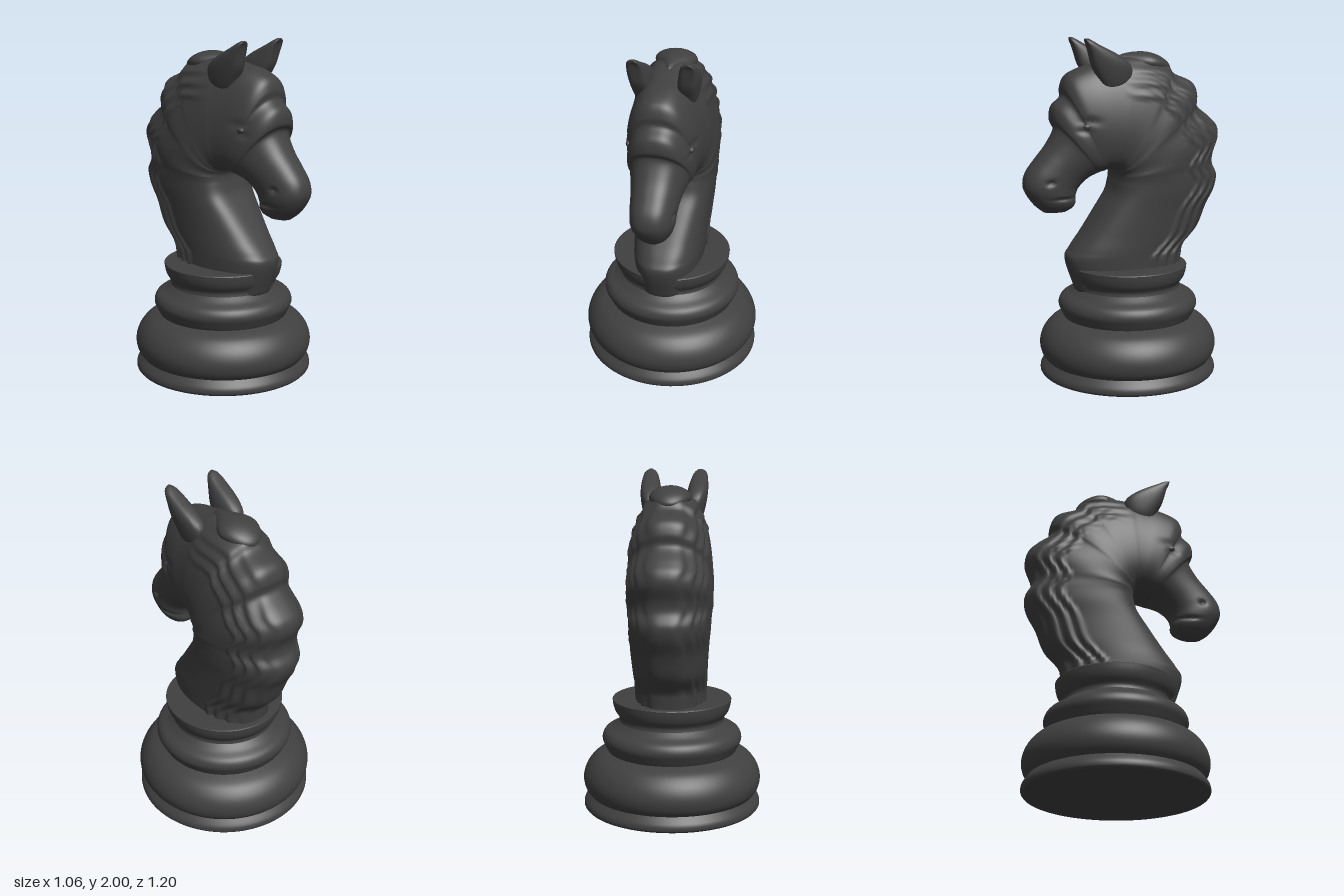
import * as THREE from 'three';

const charcoal = new THREE.MeshStandardMaterial({ color: 0x404040 });
charcoal.name = 'charcoal';

const { smoothstep } = THREE.MathUtils;

// Smooth closed skin over rings of points, with a fan at each end
function loft(rings) {
  const n = rings[0].length, pos = [], index = [];
  rings.forEach(r => r.forEach(p => pos.push(p.x, p.y, p.z)));
  for (let i = 0; i < rings.length - 1; i++) {
    for (let j = 0; j < n; j++) {
      const a = i * n + j, b = i * n + (j + 1) % n;
      index.push(a, b, b + n, a, b + n, a + n);
    }
  }
  [0, rings.length - 1].forEach((r, end) => {
    const c = rings[r].reduce((s, p) => s.add(p), new THREE.Vector3()).divideScalar(n);
    const k = pos.length / 3;
    pos.push(c.x, c.y, c.z);
    for (let j = 0; j < n; j++) {
      const a = r * n + j, b = r * n + (j + 1) % n;
      if (end) index.push(a, b, k); else index.push(b, a, k);
    }
  });
  const g = new THREE.BufferGeometry();
  g.setAttribute('position', new THREE.Float32BufferAttribute(pos, 3));
  g.setIndex(index);
  g.computeVertexNormals();
  return g;
}

function addMesh(parent, name, geometry) {
  const m = new THREE.Mesh(geometry, charcoal);
  m.name = name;
  parent.add(m);
  return m;
}

// Cross-sections: throat z, throat y, crest z, crest y, half width
const neck = [
  [.28, .5, -.34, .5, .19], [.345, .7, -.365, .7, .205], [.315, .77, -.385, .77, .21],
  [.24, .865, -.47, .865, .215], [.14, 1, -.525, 1, .225], [.075, 1.09, -.58, 1.1, .235],
  [.052, 1.16, -.595, 1.18, .24], [.046, 1.19, -.562, 1.25, .245], [.045, 1.2, -.565, 1.315, .25],
  [.046, 1.21, -.6, 1.405, .25], [.048, 1.217, -.59, 1.475, .25], [.05, 1.222, -.54, 1.53, .25],
  [.052, 1.226, -.46, 1.6, .25], [.054, 1.229, -.46, 1.67, .25], [.056, 1.232, -.425, 1.74, .247],
  [.058, 1.235, -.315, 1.79, .243], [.061, 1.238, -.27, 1.845, .24], [.065, 1.24, -.15, 1.885, .235],
  [.07, 1.242, -.02, 1.89, .23],
];
const head = [
  [.075, 1.244, .05, 1.875, .225], [.082, 1.246, .14, 1.855, .22], [.095, 1.247, .24, 1.835, .215],
  [.11, 1.245, .335, 1.79, .207], [.125, 1.241, .365, 1.725, .2], [.135, 1.237, .365, 1.67, .195],
  [.147, 1.233, .42, 1.615, .19], [.162, 1.228, .43, 1.54, .182], [.182, 1.218, .405, 1.49, .17],
  [.215, 1.2, .455, 1.395, .152], [.25, 1.17, .52, 1.315, .138], [.28, 1.13, .58, 1.235, .13],
  [.292, 1.09, .597, 1.16, .125], [.292, 1.05, .575, 1.1, .112], [.31, 1.022, .53, 1.04, .088],
  [.345, 1.0, .48, 1.0, .05],
];

// Pressed details on the face: z, y, radius along z, radius along y, depth
const dents = [
  [.465, 1.185, .022, .014, .018], [.37, 1.085, .075, .01, .016],
  [.25, 1.535, .05, .02, .012], [.285, 1.48, .04, .018, .01],
];

function horseGeometry() {
  const keys = [...neck, ...head], last = keys.length - 1;
  const curve = pick => new THREE.CatmullRomCurve3(keys.map(pick), false, 'catmullrom', 0.5);
  const throat = curve(k => new THREE.Vector3(0, k[1], k[0]));
  const crest = curve(k => new THREE.Vector3(k[4], k[3], k[2]));
  const steps = last * 6, around = 128, rings = [];
  for (let i = 0; i <= steps; i++) {
    const s = i / 6;
    const p = throat.getPoint(i / steps), q = crest.getPoint(i / steps);
    // widest point moves towards the throat in the upper neck and cheeks
    const skew = 1 + 0.5 * smoothstep(s, 1, 6) * (1 - smoothstep(s, 24, 31));
    const maneFade = 1 - smoothstep(s, 16, 19);
    const ring = [];
    for (let j = 0; j < around; j++) {
      const a = j / around * Math.PI * 2;
      const t = Math.pow((1 - Math.cos(a)) / 2, skew);
      const sin = Math.abs(Math.sin(a));
      const y = p.y + (q.y - p.y) * t, z = p.z + (q.z - p.z) * t;
      let x = q.x * Math.pow(sin, 0.8);
      // wavy strands of the mane
      const u = (t - 0.64 + 0.018 * Math.sin(s * 1.9)) / 0.36;
      if (u > 0) {
        const strand = 0.006 - 0.011 * Math.cos(u * Math.PI * 2 * 3.5);
        x += maneFade * smoothstep(u, 0, 0.12) * strand * Math.sqrt(sin);
      }
      if (s > 20) {
        for (const [dz, dy, rz, ry, depth] of dents) {
          x -= depth * Math.exp(-(((z - dz) / rz) ** 2) - ((y - dy) / ry) ** 2) * sin;
        }
      }
      ring.push(new THREE.Vector3(Math.sign(Math.sin(a)) * Math.max(x, 0), y, z));
    }
    rings.push(ring);
  }
  return loft(rings);
}

// Ear sections: y, back z, front z, centre x, half width
function earGeometry(side) {
  const keys = [
    [1.69, .04, .15, .12, .03], [1.725, .01, .17, .122, .048], [1.77, -.012, .2, .127, .058],
    [1.84, -.01, .245, .135, .062], [1.9, .06, .262, .142, .058], [1.96, .18, .272, .148, .045],
    [1.985, .225, .276, .15, .03], [1.998, .25, .27, .15, .01],
  ];
  const span = new THREE.CatmullRomCurve3(keys.map(k => new THREE.Vector3(k[0], k[1], k[2])), false, 'catmullrom', .5);
  const wide = new THREE.CatmullRomCurve3(keys.map(k => new THREE.Vector3(k[3], k[4], 0)), false, 'catmullrom', .5);
  const rings = [];
  for (let i = 0; i <= 28; i++) {
    const v = span.getPoint(i / 28), w = wide.getPoint(i / 28);
    const ring = [];
    for (let j = 0; j < 32; j++) {
      const a = j / 32 * Math.PI * 2, c = Math.cos(a), sn = Math.sin(a);
      const x = side * w.x + w.y * Math.sign(sn) * Math.pow(Math.abs(sn), 0.75);
      // shallow hollow on the front of the ear
      const hollow = 0.025 * Math.max(c, 0) ** 4 * Math.sin(Math.PI * i / 28);
      ring.push(new THREE.Vector3(x, v.x, (v.y + v.z) / 2 + c * (v.z - v.y) / 2 - hollow));
    }
    rings.push(ring);
  }
  return loft(rings);
}

// Tuft of mane tapering to a point between the ears
function forelockGeometry() {
  const g = new THREE.SphereGeometry(1, 40, 28);
  const p = g.attributes.position;
  for (let i = 0; i < p.count; i++) {
    const z = p.getZ(i), taper = 1 - 0.65 * smoothstep(z, -0.3, 0.95);
    p.setXYZ(i, p.getX(i) * 0.125 * taper, 1.855 + p.getY(i) * 0.062 - 0.035 * Math.max(-z, 0) ** 2, -0.12 + z * 0.18);
  }
  g.computeVertexNormals();
  return g;
}

// Turned base: smooth mouldings, each its own curve so that the creases stay sharp
function addBase(parent) {
  const base = new THREE.Group();
  base.name = 'base';
  base.position.z = -0.04;
  const mouldings = {
    foot: [[.52, 0], [.53, .015], [.525, .045], [.495, .085]],
    lowerBulge: [[.495, .085], [.52, .12], [.532, .17], [.525, .22], [.5, .27], [.455, .315], [.385, .345]],
    upperBulge: [[.385, .345], [.4, .375], [.417, .42], [.4, .465], [.35, .495], [.315, .525]],
    collar: [[.315, .525], [.315, .55], [.338, .585], [.35, .62], [.355, .655]],
  };
  for (const [name, pts] of Object.entries(mouldings)) {
    const curve = new THREE.SplineCurve(pts.map(([r, y]) => new THREE.Vector2(r, y)));
    addMesh(base, name, new THREE.LatheGeometry(curve.getPoints(24), 96));
  }
  const underside = addMesh(base, 'underside', new THREE.CircleGeometry(.52, 96));
  underside.rotation.x = Math.PI / 2;
  const rim = [[.355, .655], [.35, .662], [0, .662]].map(([r, y]) => new THREE.Vector2(r, y));
  addMesh(base, 'collarTop', new THREE.LatheGeometry(rim, 96));
  parent.add(base);
}

export function createModel() {
  const model = new THREE.Group();
  model.name = 'chessKnight';
  addBase(model);
  addMesh(model, 'horseHeadAndNeck', horseGeometry());
  addMesh(model, 'forelock', forelockGeometry());
  for (const [side, label] of [[1, 'left'], [-1, 'right']]) {
    addMesh(model, label + 'Ear', earGeometry(side));
    const eye = addMesh(model, label + 'Eye', new THREE.SphereGeometry(1, 20, 14));
    eye.scale.set(0.02, 0.02, 0.034);
    eye.position.set(side * 0.172, 1.505, 0.255);
    eye.rotation.y = side * 0.3;
  }
  return model;
}
